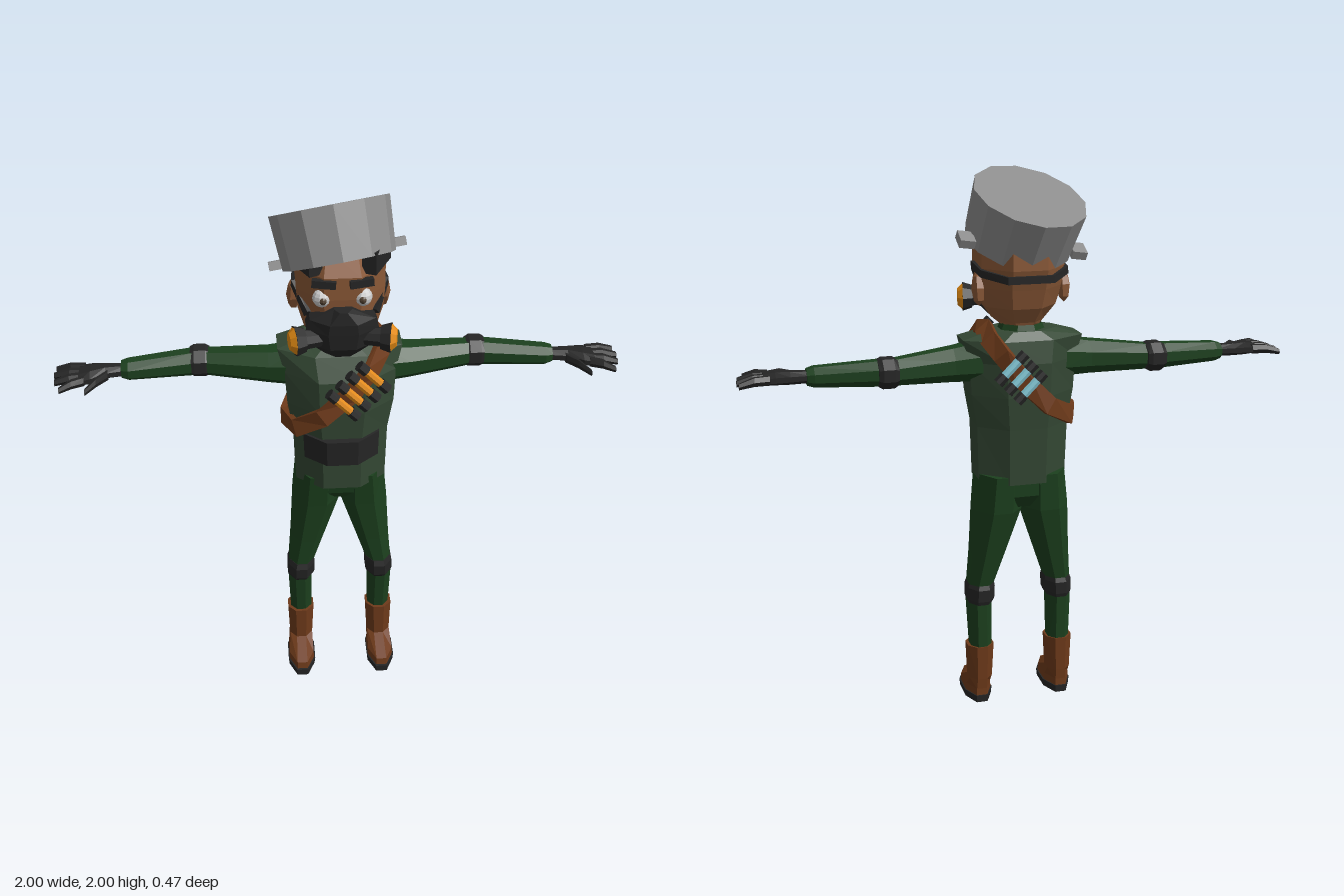
import * as THREE from 'three';

const mat = (color) => new THREE.MeshStandardMaterial({ color, flatShading: true, side: THREE.DoubleSide });
const M = {
  pot: mat(0x8c8c8c), skin: mat(0x8a5836), black: mat(0x252525), vest: mat(0x344834), green: mat(0x1c401e),
  leather: mat(0x6e3a1a), orange: mat(0xe28a14), cyan: mat(0x7fc4d2), white: mat(0xd8d8d8), iris: mat(0x50402f),
};
const V = (x, y, z) => new THREE.Vector3(x, y, z);

function add(parent, name, geometry, material, pos = [0, 0, 0], rot = [0, 0, 0], scale = [1, 1, 1]) {
  const mesh = new THREE.Mesh(geometry, material);
  mesh.name = name;
  mesh.position.set(...pos);
  mesh.rotation.set(...rot);
  mesh.scale.set(...scale);
  parent.add(mesh);
  return mesh;
}

// Polygon of n sides whose flats touch the given half sizes
function polygon(n, a, b) {
  const k = 1 / Math.cos(Math.PI / n);
  return Array.from({ length: n }, (_, i) => {
    const t = ((i + 0.5) / n) * Math.PI * 2;
    return [Math.cos(t) * a * k, Math.sin(t) * b * k];
  });
}
// Level ring: height, centre x, centre z, half width, half depth
const ringY = ([y, cx, cz, rx, rz], n = 8) => polygon(n, rx, rz).map(([a, b]) => V(cx + a, y, cz + b));
// Upright ring across the arm: x, centre y, centre z, half height, half depth
const ringX = ([x, cy, cz, ry, rz], s, n = 8) => polygon(n, ry, rz).map(([a, b]) => V(s * x, cy + a, cz + b));

// Skin a row of rings; the winding is turned outward by the enclosed volume
function loft(rings, caps = true) {
  const tris = [];
  const n = rings[0].length;
  for (let i = 0; i + 1 < rings.length; i++) {
    for (let j = 0; j < n; j++) {
      const k = (j + 1) % n;
      const [a, b, c, d] = [rings[i][j], rings[i][k], rings[i + 1][k], rings[i + 1][j]];
      tris.push([a, b, c], [a, c, d]);
    }
  }
  if (caps) {
    [rings[0], rings[rings.length - 1]].forEach((r, end) => {
      for (let j = 1; j + 1 < n; j++) tris.push(end ? [r[0], r[j], r[j + 1]] : [r[0], r[j + 1], r[j]]);
    });
  }
  const volume = tris.reduce((sum, [a, b, c]) => sum + a.dot(V().crossVectors(b, c)), 0);
  const pts = tris.flatMap(([a, b, c]) => (volume < 0 ? [a, c, b] : [a, b, c]));
  const g = new THREE.BufferGeometry().setFromPoints(pts);
  g.computeVertexNormals();
  return g;
}

// Flat strap along points, lying on the body; lift turns it upward over a shoulder
function strap(points, width, thick, closed, lift = 0) {
  const p = points.map((q) => V(...q));
  const n = p.length;
  const rings = p.map((q, i) => {
    const next = p[closed ? (i + 1) % n : Math.min(i + 1, n - 1)];
    const prev = p[closed ? (i + n - 1) % n : Math.max(i - 1, 0)];
    const tangent = next.clone().sub(prev).normalize();
    const out = V(q.x, Math.max(0, q.y - 1.4) * lift, q.z);
    out.addScaledVector(tangent, -out.dot(tangent)).normalize();
    const side = V().crossVectors(tangent, out);
    return [[1, 1], [1, -1], [-1, -1], [-1, 1]].map(([a, b]) =>
      q.clone().addScaledVector(side, (a * width) / 2).addScaledVector(out, (b * thick) / 2));
  });
  if (closed) rings.push(rings[0]);
  return loft(rings, !closed);
}

function buildHead(g) {
  add(g, 'head', loft([
    [1.40, 0, -0.03, 0.06, 0.055], [1.46, 0, -0.01, 0.065, 0.07], [1.475, 0, 0.02, 0.085, 0.105],
    [1.53, 0, 0.015, 0.125, 0.135], [1.6, 0, 0.01, 0.145, 0.15], [1.67, 0, 0.002, 0.15, 0.165],
    [1.75, 0, 0.002, 0.15, 0.165], [1.83, 0, -0.01, 0.12, 0.13]].map((r) => ringY(r))), M.skin);
  // Face mask, bulging forward with a peak over the nose
  add(g, 'mask', loft([
    [1.455, 0, 0.11, 0.06, 0.055], [1.5, 0, 0.12, 0.105, 0.08], [1.56, 0, 0.12, 0.122, 0.09],
    [1.6, 0, 0.13, 0.11, 0.085], [1.645, 0, 0.16, 0.03, 0.05]].map((r) => ringY(r))), M.black);
  add(g, 'maskStrap', strap([
    [0.115, 1.6, 0.12], [0.158, 1.67, 0.03], [0.152, 1.655, -0.08], [0.08, 1.64, -0.165], [-0.08, 1.64, -0.165],
    [-0.152, 1.655, -0.08], [-0.158, 1.67, 0.03], [-0.115, 1.6, 0.12]], 0.026, 0.014, false), M.black);
  for (const s of [1, -1]) {
    add(g, 'ear', new THREE.SphereGeometry(1, 6, 4), M.skin, [s * 0.155, 1.595, -0.035], [0.2, 0, 0], [0.025, 0.06, 0.038]);
    add(g, 'eye', new THREE.SphereGeometry(0.032, 10, 8), M.white, [s * 0.068, 1.672, 0.147]);
    add(g, 'iris', new THREE.SphereGeometry(0.014, 8, 6), M.iris, [s * 0.066, 1.672, 0.17]);
    add(g, 'eyebrow', new THREE.BoxGeometry(0.08, 0.026, 0.022), M.black, [s * 0.062, 1.732, 0.166], [0, s * 0.15, s * 0.06]);
    add(g, 'templeHair', new THREE.BoxGeometry(0.05, 0.08, 0.14), M.black, [s * 0.117, 1.795, 0.09], [0, s * -0.45, 0]);
    // Breathing filter with a coloured outer cap
    const filter = new THREE.Group();
    filter.name = 'filter';
    filter.position.set(s * 0.145, 1.53, 0.175);
    filter.rotation.set(0, s * -0.2, s * -Math.PI / 2);
    add(filter, 'filterNeck', new THREE.CylinderGeometry(0.035, 0.03, 0.07, 8), M.black, [0, -0.04, 0]);
    add(filter, 'filterBody', new THREE.CylinderGeometry(0.053, 0.042, 0.035, 8), M.black);
    add(filter, 'filterCap', new THREE.CylinderGeometry(0.03, 0.05, 0.02, 8), M.orange, [0, 0.026, 0]);
    g.add(filter);
  }
}

// Cooking pot worn upside down, tipped back and to one side
function buildPot(g) {
  const pot = new THREE.Group();
  pot.name = 'potHelmet';
  pot.position.set(-0.015, 1.828, -0.012);
  pot.rotation.set(-0.428, 0, 0.157);
  const profile = [[0, 0.08], [0.192, 0.08], [0.182, -0.093], [0.193, -0.093], [0.206, 0.093], [0, 0.093]];
  add(pot, 'pot', new THREE.LatheGeometry(profile.map((p) => new THREE.Vector2(...p)), 12), M.pot);
  for (const s of [1, -1]) add(pot, 'potHandle', new THREE.BoxGeometry(0.055, 0.03, 0.065), M.pot, [s * 0.208, -0.07, -0.06]);
  g.add(pot);
}

function buildTorso(g) {
  add(g, 'vest', loft([
    [0.89, 0, 0.008, 0.162, 0.135], [1.1, 0, 0.005, 0.168, 0.145], [1.22, 0, 0.005, 0.188, 0.155],
    [1.34, 0, 0, 0.195, 0.152], [1.42, 0, -0.015, 0.218, 0.125], [1.45, 0, -0.025, 0.12, 0.09]].map((r) => ringY(r))), M.vest);
  add(g, 'collar', loft([[1.4, 0, -0.03, 0.1, 0.09], [1.47, 0, -0.035, 0.07, 0.065]].map((r) => ringY(r)), false), M.green);
  add(g, 'frontPouch', loft([[1.01, 0, 0.06, 0.132, 0.112], [1.11, 0, 0.06, 0.135, 0.116]].map((r) => ringY(r))), M.black);
  add(g, 'hips', loft([[0.79, 0, -0.01, 0.08, 0.07], [0.84, 0, -0.005, 0.15, 0.11], [0.92, 0, 0, 0.155, 0.12]].map((r) => ringY(r))), M.green);
  // Bandolier loop from left shoulder to right side
  add(g, 'bandolier', strap([
    [0.135, 1.455, -0.03], [0.14, 1.43, 0.085], [0.1, 1.385, 0.15], [0.03, 1.305, 0.168], [-0.07, 1.215, 0.17],
    [-0.16, 1.15, 0.125], [-0.2, 1.125, 0], [-0.16, 1.14, -0.12], [-0.07, 1.19, -0.165], [0.03, 1.29, -0.165],
    [0.1, 1.38, -0.15], [0.135, 1.43, -0.11]], 0.065, 0.022, true, 3), M.leather);
  const shells = (name, count, material, z, x0, y0) => {
    for (let i = 0; i < count; i++) {
      const shell = new THREE.Group();
      shell.name = name;
      shell.position.set(x0 + i * 0.034, y0 + i * 0.036, z);
      shell.rotation.z = Math.PI / 4;
      add(shell, 'casing', new THREE.CylinderGeometry(0.016, 0.016, 0.1, 8), material);
      for (const e of [1, -1]) add(shell, 'casingEnd', new THREE.CylinderGeometry(0.02, 0.02, 0.035, 8), M.black, [0, e * 0.052, 0]);
      g.add(shell);
    }
  };
  shells('frontShell', 4, M.orange, 0.197, 0, 1.28);
  shells('backShell', 3, M.cyan, -0.197, 0.01, 1.27);
}

function buildArm(g, s) {
  const tube = (name, rows, material, n = 8) => add(g, name, loft(rows.map((r) => ringX(r, s, n))), material);
  tube('sleeve', [
    [0.15, 1.335, -0.01, 0.07, 0.085], [0.25, 1.33, -0.02, 0.06, 0.07], [0.47, 1.325, -0.062, 0.045, 0.05],
    [0.52, 1.325, -0.062, 0.045, 0.05], [0.74, 1.32, -0.036, 0.035, 0.044], [0.765, 1.32, -0.036, 0.028, 0.034]], M.green);
  tube('elbowPad', [
    [0.455, 1.325, -0.068, 0.044, 0.055], [0.47, 1.325, -0.07, 0.052, 0.06],
    [0.51, 1.325, -0.07, 0.052, 0.06], [0.525, 1.325, -0.068, 0.044, 0.055]], M.black);
  tube('glovePalm', [
    [0.75, 1.32, -0.033, 0.02, 0.026], [0.82, 1.32, -0.028, 0.022, 0.036],
    [0.87, 1.32, -0.012, 0.023, 0.055], [0.91, 1.318, -0.008, 0.018, 0.058]], M.black);
  // Fingers: root x, root z, tip x, tip z
  const fingers = [[0.89, -0.053, 0.995, -0.068], [0.89, -0.023, 1, -0.025], [0.89, 0.008, 0.995, 0.022],
    [0.89, 0.034, 0.975, 0.074], [0.81, 0, 0.885, 0.092]];
  for (const [x0, z0, x1, z1] of fingers) {
    tube('finger', [[x0, 1.32, z0, 0.016, 0.015], [(x0 + x1) / 2, 1.32, (z0 + z1) / 2, 0.015, 0.015], [x1, 1.308, z1, 0.01, 0.01]], M.black, 6);
  }
}

function buildLeg(g, s) {
  const tube = (name, rows, material) =>
    add(g, name, loft(rows.map(([y, cx, ...r]) => ringY([y, s * cx, ...r]))), material);
  tube('trouserLeg', [
    [0.92, 0.08, -0.003, 0.08, 0.122], [0.78, 0.088, -0.008, 0.086, 0.108], [0.6, 0.123, 0, 0.062, 0.082],
    [0.47, 0.15, 0.008, 0.046, 0.065], [0.4, 0.155, 0.005, 0.044, 0.06], [0.21, 0.152, -0.005, 0.04, 0.045]], M.green);
  tube('kneePad', [
    [0.405, 0.152, 0.005, 0.046, 0.066], [0.42, 0.151, 0.008, 0.051, 0.074],
    [0.465, 0.149, 0.01, 0.051, 0.076], [0.485, 0.147, 0.01, 0.046, 0.068]], M.black);
  tube('boot', [
    [0.02, 0.157, 0.06, 0.049, 0.108], [0.055, 0.157, 0.058, 0.047, 0.105], [0.095, 0.155, 0.002, 0.044, 0.052],
    [0.23, 0.154, 0, 0.05, 0.054]], M.leather);
  tube('sole', [[0, 0.157, 0.062, 0.05, 0.112], [0.028, 0.157, 0.062, 0.053, 0.114]], M.black);
}

export function createModel() {
  const model = new THREE.Group();
  model.name = 'survivor';
  const section = (name, build, ...args) => {
    const g = new THREE.Group();
    g.name = name;
    build(g, ...args);
    model.add(g);
  };
  section('headGroup', buildHead);
  section('headgear', buildPot);
  section('torso', buildTorso);
  for (const [side, s] of [['left', 1], ['right', -1]]) {
    section(side + 'Arm', buildArm, s);
    section(side + 'Leg', buildLeg, s);
  }
  return model;
}
